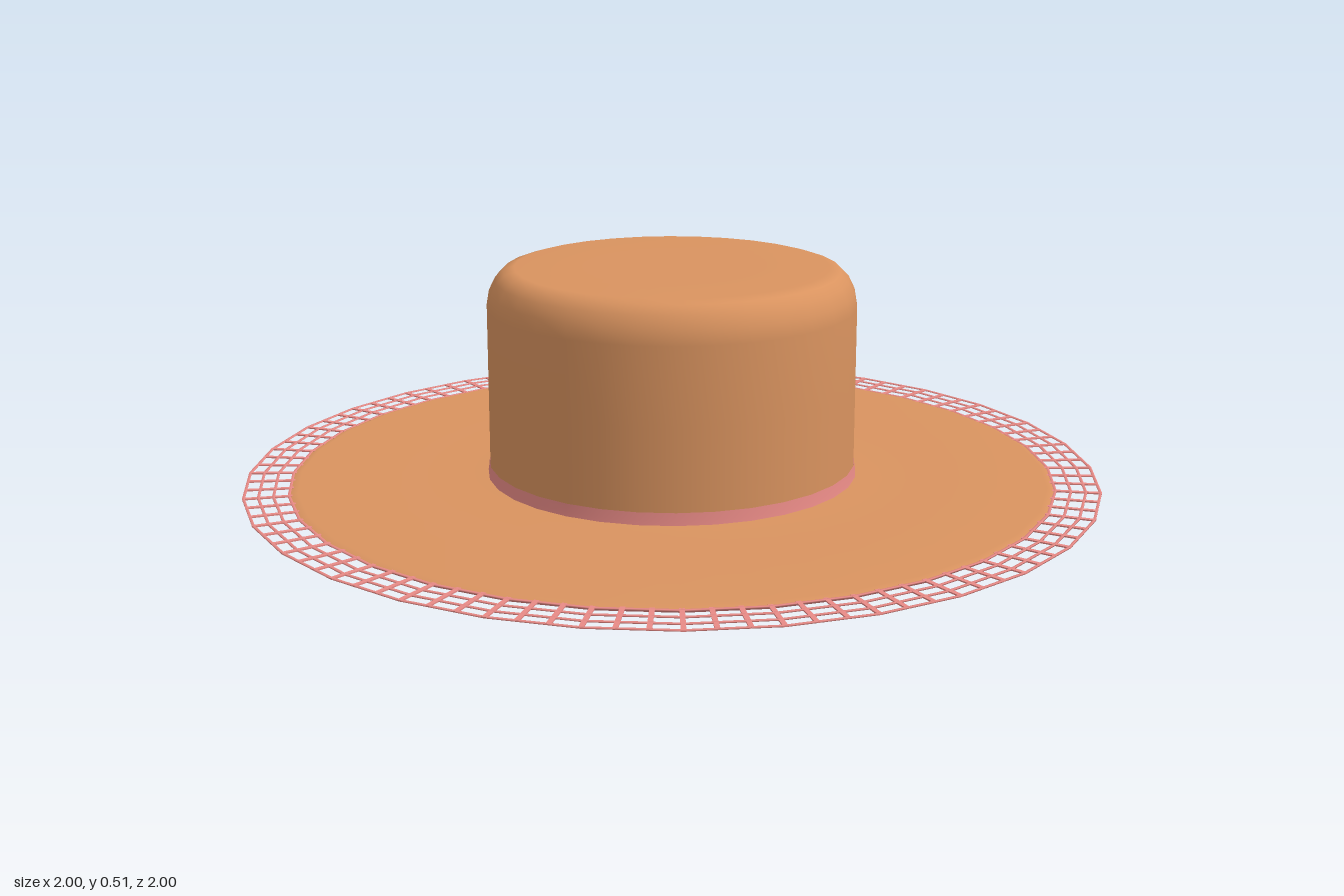
import * as THREE from 'three';
import { mergeGeometries } from 'three/addons/utils/BufferGeometryUtils.js';

const SIDES = 32;
const straw = new THREE.MeshStandardMaterial({ color: 0xd9935f, side: THREE.DoubleSide });
const pink = new THREE.MeshStandardMaterial({ color: 0xe88a86, side: THREE.DoubleSide });

// Lathe from [radius, y] pairs; the crown (r < 0.5) is slightly narrower in z
function turned(name, profile, material) {
  const geo = new THREE.LatheGeometry(profile.map(([r, y]) => new THREE.Vector2(r, y)), SIDES);
  const pos = geo.attributes.position;
  for (let i = 0; i < pos.count; i++) {
    if (Math.hypot(pos.getX(i), pos.getZ(i)) < 0.5) pos.setZ(i, pos.getZ(i) * 0.967);
  }
  const mesh = new THREE.Mesh(geo, material);
  mesh.name = name;
  return mesh;
}

// Openwork border: flat rings crossed by short spokes, following the 32-sided outline
function lace() {
  const y = 0.013, inner = 0.885, outer = 1, step = (Math.PI * 2) / SIDES;
  const group = new THREE.Group();
  group.name = 'laceBorder';
  for (const r of [0.895, 0.93, 0.964, 0.997]) {
    const w = 0.003, h = 0.0015;
    group.add(turned('laceRing', [[r - w, y - h], [r + w, y - h], [r + w, y + h], [r - w, y + h], [r - w, y - h]], pink));
  }
  const spokes = [], count = SIDES * 3;
  for (let i = 0; i < count; i++) {
    const a = (i / count) * Math.PI * 2;
    const f = Math.cos(step / 2) / Math.cos((i % 3) * step / 3 - step / 2);
    const g = new THREE.BoxGeometry(0.011, 0.003, (outer - inner) * f);
    g.translate(0, y, (f * (inner + outer)) / 2);
    g.rotateY(a);
    spokes.push(g);
  }
  const mesh = new THREE.Mesh(mergeGeometries(spokes), pink);
  mesh.name = 'laceSpokes';
  group.add(mesh);
  return group;
}

export function createModel() {
  const hat = new THREE.Group();
  hat.name = 'hat';
  // Underside, edge and top of the brim
  hat.add(turned('brimUnderside', [[0.43, 0.003], [0.6, 0], [0.875, 0]], straw));
  hat.add(turned('brimEdge', [[0.875, 0], [0.89, 0.006], [0.893, 0.013]], pink));
  hat.add(turned('brimTop', [[0.893, 0.013], [0.875, 0.018], [0.6, 0.018], [0.48, 0.018], [0.43, 0.02]], straw));
  // Open-bottomed crown with a rounded shoulder
  hat.add(turned('crown', [
    [0.43, 0.003], [0.43, 0.05], [0.43, 0.24], [0.43, 0.42], [0.424, 0.454],
    [0.41, 0.483], [0.391, 0.502], [0.365, 0.51], [0.2, 0.51], [0, 0.51],
  ], straw));
  // Ribbon round the foot of the crown
  hat.add(turned('ribbon', [[0.435, 0.018], [0.433, 0.03], [0.431, 0.048]], pink));
  hat.add(lace());
  return hat;
}
